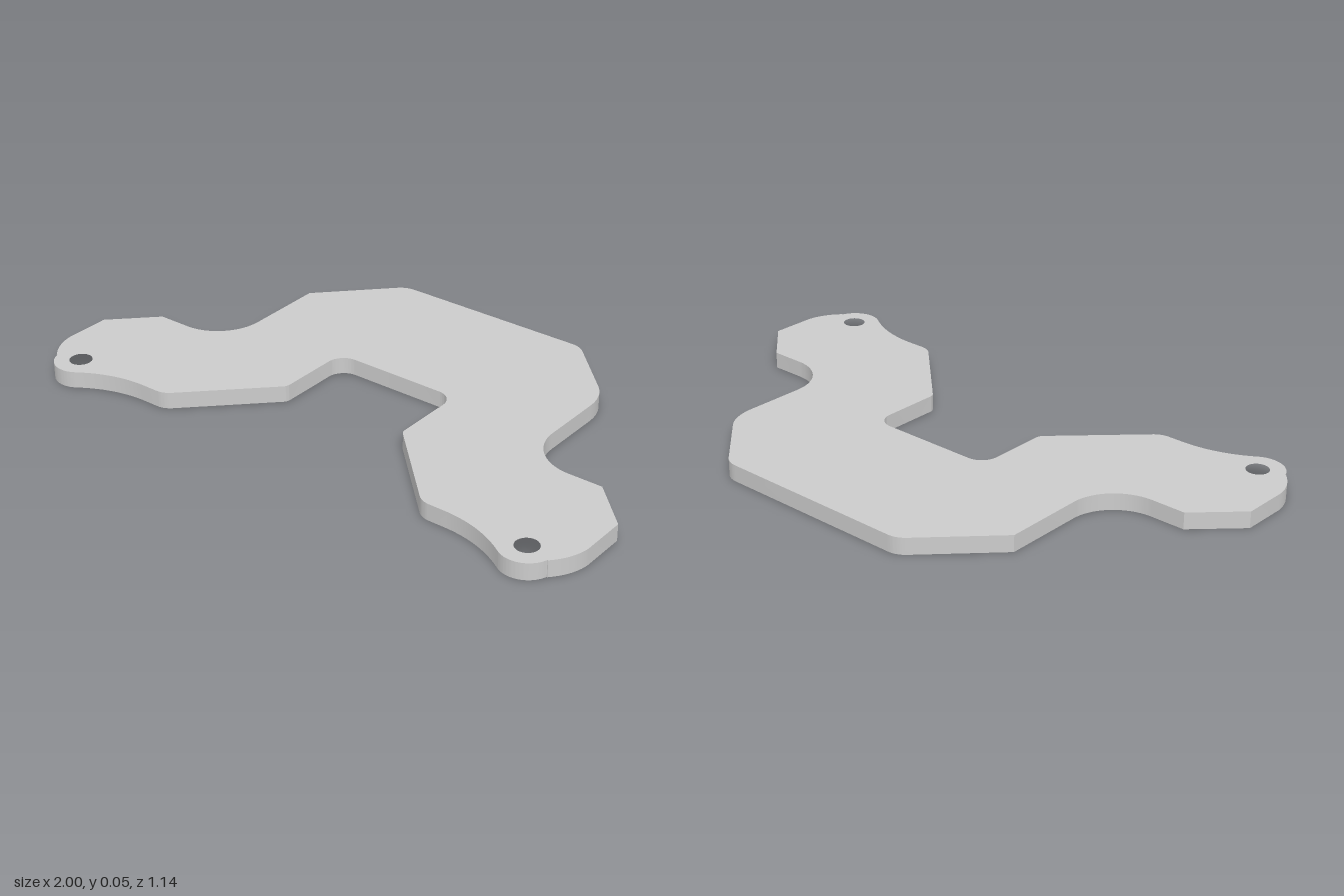
import * as THREE from 'three';
import { toCreasedNormals } from 'three/addons/utils/BufferGeometryUtils.js';

const THICKNESS = 0.055;
const HOLE = { x: 0.86, z: 0.48, r: 0.037 };

// Half outline on the +x side in (x, z), from back centre round to the notch centre
function halfOutline(roundShoulder) {
  const p = new THREE.Path();
  p.moveTo(0, -0.572);
  p.lineTo(0.32, -0.572);
  p.quadraticCurveTo(0.352, -0.572, 0.375, -0.55);
  // shoulder: rounded on one side, a sharp corner on the other
  if (roundShoulder) {
    p.lineTo(0.538, -0.387);
    p.quadraticCurveTo(0.585, -0.34, 0.585, -0.265);
  } else {
    p.lineTo(0.588, -0.332);
  }
  // inside fillet and outer arm
  p.lineTo(0.585, -0.06);
  p.absarc(0.748, -0.06, 0.163, Math.PI, Math.PI / 2, true);
  p.lineTo(0.862, 0.103);
  p.lineTo(1, 0.24);
  p.lineTo(1, 0.39);
  p.quadraticCurveTo(0.995, 0.452, 0.945, 0.505);
  // rounded lug around the hole
  p.absarc(HOLE.x, HOLE.z, 0.086, 0.29, 2.19, false);
  p.quadraticCurveTo(0.71, 0.483, 0.59, 0.48);
  // front corner and centre notch
  p.lineTo(0.53, 0.48);
  p.quadraticCurveTo(0.5, 0.48, 0.48, 0.46);
  p.lineTo(0.235, 0.218);
  p.quadraticCurveTo(0.226, 0.209, 0.226, 0.195);
  p.lineTo(0.226, 0.005);
  p.absarc(0.166, 0.005, 0.06, 0, -Math.PI / 2, true);
  p.lineTo(0, -0.055);
  return p.getPoints(14);
}

export function createModel() {
  const group = new THREE.Group();
  group.name = 'bracket';

  // Join both halves; shape y is -z because the extrusion is laid flat
  const right = halfOutline(true).map(v => new THREE.Vector2(v.x, -v.y));
  const left = halfOutline(false).map(v => new THREE.Vector2(-v.x, -v.y)).reverse();
  const shape = new THREE.Shape([...right, ...left.slice(1, -1)]);

  // Mounting holes
  for (const side of [-1, 1]) {
    const hole = new THREE.Path();
    hole.absarc(side * HOLE.x, -HOLE.z, HOLE.r, 0, Math.PI * 2, true);
    shape.holes.push(hole);
  }

  const geometry = new THREE.ExtrudeGeometry(shape, {
    depth: THICKNESS, bevelEnabled: false, curveSegments: 16,
  });
  geometry.rotateX(-Math.PI / 2);

  const plate = new THREE.Mesh(
    toCreasedNormals(geometry, Math.PI / 6),
    new THREE.MeshStandardMaterial({ color: 0xcccccc }),
  );
  plate.name = 'mountingPlate';
  group.add(plate);
  return group;
}
